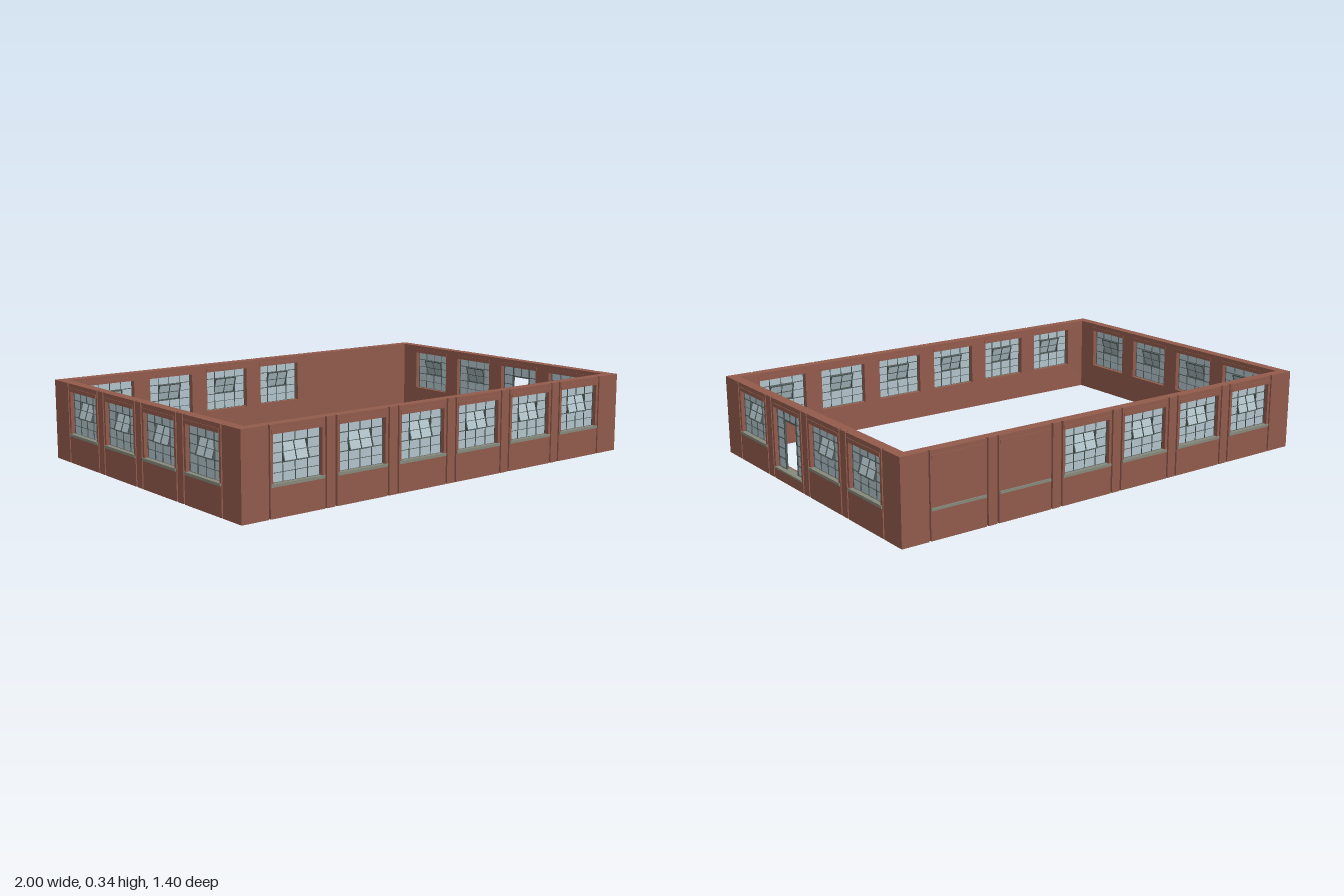
import * as THREE from 'three';

const mat = (name, color, side = THREE.FrontSide) => {
  const m = new THREE.MeshStandardMaterial({ color, side });
  m.name = name;
  return m;
};

const H = 0.34, T = 0.044, SKIN = 0.01;   // wall height, thickness, outer layer
const HX = 0.996, HZ = 0.696;             // half extents to the outer faces
const WIN = { w: 0.22, y0: 0.125, y1: 0.305 };
const DOOR = { w: 0.22, y0: 0.05, y1: 0.305 };
const GLASS_Z = -0.02;

export function createModel() {
  const brick = mat('brick', 0x935c4c);
  const glass = mat('glass', 0xb3c6cd, THREE.DoubleSide);
  const frame = mat('window frame', 0x505b59);
  const stone = mat('sill stone', 0x878a7c);

  const add = (parent, name, geo, material) => {
    const m = new THREE.Mesh(geo, material);
    m.name = name;
    parent.add(m);
    return m;
  };
  // box given by its limits
  const box = (parent, name, material, x0, x1, y0, y1, z0, z1) => {
    const m = add(parent, name, new THREE.BoxGeometry(x1 - x0, y1 - y0, z1 - z0), material);
    m.position.set((x0 + x1) / 2, (y0 + y1) / 2, (z0 + z1) / 2);
    return m;
  };
  const rect = (S, x0, x1, y0, y1) => new S([
    [x0, y0], [x1, y0], [x1, y1], [x0, y1],
  ].map(([x, y]) => new THREE.Vector2(x, y)));

  // upright slab with rectangular openings
  const slab = (parent, name, x0, x1, z0, z1, holes) => {
    const s = rect(THREE.Shape, x0, x1, 0, H);
    for (const h of holes) s.holes.push(rect(THREE.Path, h.u - h.w / 2, h.u + h.w / 2, h.y0, h.y1));
    const m = add(parent, name, new THREE.ExtrudeGeometry(s, { depth: z1 - z0, bevelEnabled: false }), brick);
    m.position.z = z0;
  };

  // bars dividing a pane into columns and rows, with the outer border
  const bars = (parent, x0, x1, y0, y1, cols, rows, t = 0.0022) => {
    for (let i = 0; i <= cols; i++) {
      const x = x0 + (x1 - x0) * i / cols, w = i % cols ? t / 2 : t;
      box(parent, 'verticalBar', frame, x - w, x + w, y0, y1, -0.004, 0.004);
    }
    for (let j = 0; j <= rows; j++) {
      const y = y0 + (y1 - y0) * j / rows, w = j % rows ? t / 2 : t;
      box(parent, 'horizontalBar', frame, x0, x1, y - w, y + w, -0.0038, 0.0038);
    }
  };

  // multi-pane window with a tilted pivot sash
  const makeWindow = () => {
    const g = new THREE.Group();
    g.name = 'window';
    const { w, y0, y1 } = WIN, row = (y1 - y0) / 5;
    const sx = w / 4, sy0 = y0 + row * 2, sy1 = y0 + row * 4, mid = (sy0 + sy1) / 2;
    const pane = rect(THREE.Shape, -w / 2, w / 2, y0, y1);
    pane.holes.push(rect(THREE.Path, -sx, sx, sy0, sy1));
    add(g, 'fixedGlass', new THREE.ShapeGeometry(pane), glass);
    // fixed grid around the sash opening
    for (const [x0, x1, a, b, c, r] of [
      [-w / 2, w / 2, y0, sy0, 4, 2], [-w / 2, w / 2, sy1, y1, 4, 1],
      [-w / 2, -sx, sy0, sy1, 1, 2], [sx, w / 2, sy0, sy1, 1, 2],
    ]) bars(g, x0, x1, a, b, c, r, 0.0014);
    const sash = new THREE.Group();
    sash.name = 'pivotSash';
    add(sash, 'sashGlass', new THREE.PlaneGeometry(sx * 2, sy1 - sy0), glass);
    bars(sash, -sx, sx, sy0 - mid, sy1 - mid, 2, 2);
    sash.position.y = mid;
    sash.rotation.x = -0.3;
    g.add(sash);
    g.position.z = GLASS_Z;
    return g;
  };

  // doorway: sidelights and transom around an open centre
  const makeDoorway = () => {
    const g = new THREE.Group();
    g.name = 'doorway';
    const { w, y0, y1 } = DOOR, inner = 0.05, head = 0.26;
    for (const [x0, x1, a, b, c, r] of [
      [-w / 2, -inner, y0, y1, 1, 6], [inner, w / 2, y0, y1, 1, 6],
      [-inner, inner, head, y1, 2, 1],
    ]) {
      add(g, 'doorGlass', new THREE.ShapeGeometry(rect(THREE.Shape, x0, x1, a, b)), glass);
      bars(g, x0, x1, a, b, c, r, 0.003);
    }
    g.position.z = GLASS_Z;
    return g;
  };

  // wall facing local +z, outer face at z = 0; kinds lists the bays along x
  const makeWall = (name, kinds, half, coreHalf, skinHalf) => {
    const wall = new THREE.Group();
    wall.name = name;
    const n = kinds.length;
    const holes = [];
    let edge = -skinHalf;
    kinds.forEach((kind, i) => {
      const u = (i - (n - 1) / 2) * 0.3;
      const hole = kind === 'blank' ? null : { u, ...(kind === 'door' ? DOOR : WIN) };
      if (hole) holes.push(hole);
      // pier, then bay panel, separated by narrow grooves
      slab(wall, 'pier', edge, u - 0.13, -SKIN, 0, []);
      slab(wall, 'bayPanel', u - 0.122, u + 0.122, -SKIN, 0, hole ? [hole] : []);
      edge = u + 0.13;
      // lintels outside and inside, and the sill
      box(wall, 'lintel', brick, u - 0.115, u + 0.115, 0.306, 0.322, -0.002, 0.003);
      if (hole) box(wall, 'innerLintel', brick, u - 0.115, u + 0.115, 0.306, 0.322, -T - 0.003, -T + 0.002);
      if (kind === 'door') {
        box(wall, 'threshold', stone, u - 0.113, u + 0.113, 0.044, 0.051, -0.036, 0.004);
      } else {
        box(wall, 'sill', stone, u - 0.12, u + 0.12, 0.115, 0.126, hole ? -0.025 : -0.008, 0.004);
      }
      if (hole) {
        const unit = kind === 'door' ? makeDoorway() : makeWindow();
        unit.position.x = u;
        wall.add(unit);
      }
    });
    slab(wall, 'pier', edge, skinHalf, -SKIN, 0, []);
    slab(wall, 'wallCore', -coreHalf, coreHalf, -T, -SKIN, holes);
    return wall;
  };

  const model = new THREE.Group();
  model.name = 'brickBuildingStorey';
  const W = 'window', B = 'blank';
  const longCore = HX - SKIN, shortCore = HZ - T, shortSkin = HZ - SKIN;

  const front = makeWall('frontWall', [W, W, W, W, W, W], HX, longCore, HX);
  front.position.z = HZ;
  const back = makeWall('backWall', [B, B, W, W, W, W], HX, longCore, HX);
  back.position.z = -HZ;
  back.rotation.y = Math.PI;
  const doorSide = makeWall('doorSideWall', [W, 'door', W, W], HZ, shortCore, shortSkin);
  doorSide.position.x = HX;
  doorSide.rotation.y = Math.PI / 2;
  const plainSide = makeWall('windowSideWall', [W, W, W, W], HZ, shortCore, shortSkin);
  plainSide.position.x = -HX;
  plainSide.rotation.y = -Math.PI / 2;
  model.add(front, back, doorSide, plainSide);
  return model;
}
